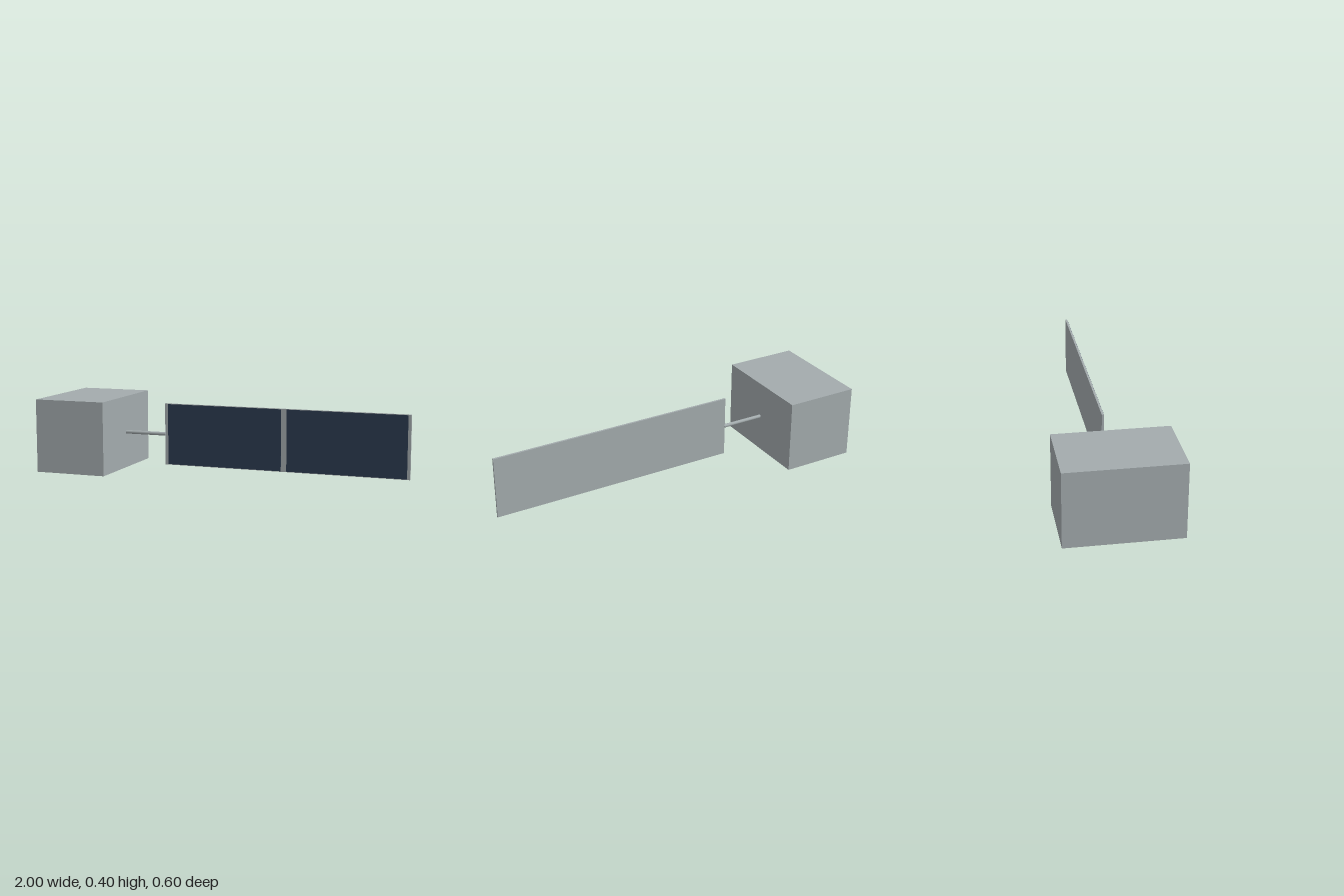
import * as THREE from 'three';

export function createModel() {
  const model = new THREE.Group();
  model.name = 'satellitePanelAssembly';

  const grey = new THREE.MeshStandardMaterial({ color: 0xa3abad });
  grey.name = 'metalGrey';
  const navy = new THREE.MeshStandardMaterial({ color: 0x2c3b4f });
  navy.name = 'cellNavy';

  const add = (name, geometry, material, x, y, z) => {
    const mesh = new THREE.Mesh(geometry, material);
    mesh.name = name;
    mesh.position.set(x, y, z);
    model.add(mesh);
    return mesh;
  };
  const box = (name, material, x0, x1, y0, y1, z0, z1) =>
    add(name, new THREE.BoxGeometry(x1 - x0, y1 - y0, z1 - z0), material,
      (x0 + x1) / 2, (y0 + y1) / 2, (z0 + z1) / 2);

  // Main body
  box('body', grey, -1, -0.6, 0, 0.4, -0.3, 0.3);

  // Round arm joining the body to the panel
  const arm = new THREE.CylinderGeometry(0.01, 0.01, 0.24, 16);
  arm.rotateZ(Math.PI / 2);
  add('arm', arm, grey, -0.48, 0.2, 0);

  // Thin panel with two dark cells on its front
  box('panel', grey, -0.363, 1, 0.03, 0.37, -0.006, 0.005);
  for (const [name, x0] of [['innerCell', -0.345], ['outerCell', 0.335]]) {
    box(name, navy, x0, x0 + 0.649, 0.033, 0.367, 0.004, 0.0065);
  }

  return model;
}
